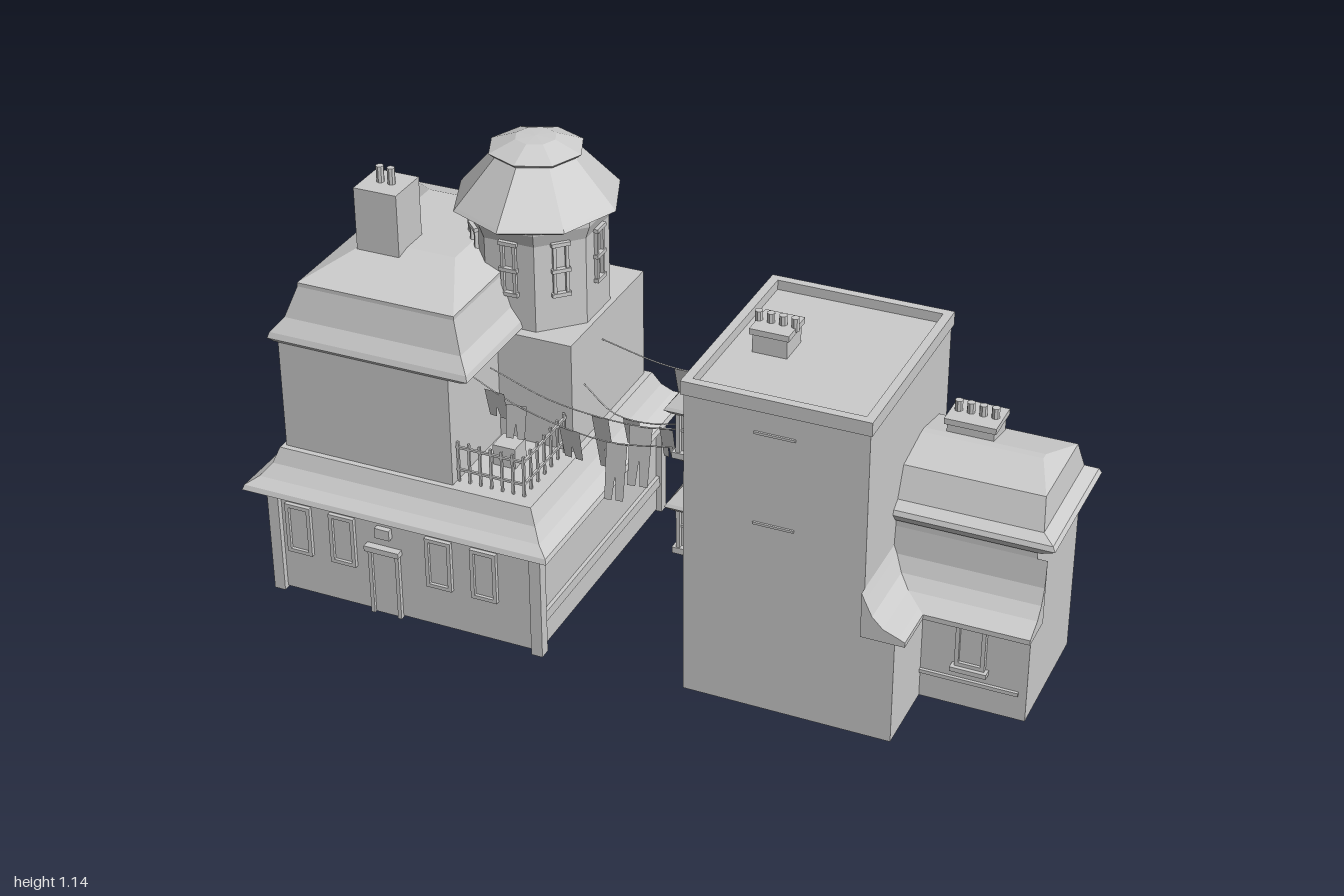
import * as THREE from 'three';

const mat = new THREE.MeshStandardMaterial({ color: 0xcccccc, flatShading: true, side: THREE.DoubleSide });

export function createModel() {
  const root = new THREE.Group();
  const group = (name) => {
    const g = new THREE.Group();
    g.name = name;
    root.add(g);
    return g;
  };
  const add = (parent, name, geo) => {
    const m = new THREE.Mesh(geo, mat);
    m.name = name;
    parent.add(m);
    return m;
  };
  // Box given by its limits
  const box = (p, name, x0, x1, y0, y1, z0, z1) => {
    const m = add(p, name, new THREE.BoxGeometry(x1 - x0, y1 - y0, z1 - z0));
    m.position.set((x0 + x1) / 2, (y0 + y1) / 2, (z0 + z1) / 2);
    return m;
  };
  // Solid lofted through rectangles [y, x0, x1, z0, z1]
  const loft = (p, name, levels) => {
    const rings = levels.map(([y, x0, x1, z0, z1]) => [[x0, y, z1], [x1, y, z1], [x1, y, z0], [x0, y, z0]]);
    const pos = [];
    const quad = (a, b, c, d) => pos.push(...a, ...b, ...c, ...a, ...c, ...d);
    for (let k = 0; k + 1 < rings.length; k++) {
      const a = rings[k], b = rings[k + 1];
      for (let i = 0; i < 4; i++) quad(a[i], a[(i + 1) % 4], b[(i + 1) % 4], b[i]);
    }
    const t = rings[rings.length - 1], o = rings[0];
    quad(t[0], t[1], t[2], t[3]);
    quad(o[3], o[2], o[1], o[0]);
    const geo = new THREE.BufferGeometry();
    geo.setAttribute('position', new THREE.Float32BufferAttribute(pos, 3));
    geo.computeVertexNormals();
    return add(p, name, geo);
  };
  const chimney = (p, x0, x1, y0, y1, z0, z1, potTop, pots, cap) => {
    box(p, 'chimneyStack', x0, x1, y0, y1, z0, z1);
    if (cap) box(p, 'chimneyCap', x0 - 0.006, x1 + 0.006, y1 - 0.015, y1, z0 - 0.006, z1 + 0.006);
    for (let i = 0; i < pots; i++) {
      const pot = add(p, 'chimneyPot', new THREE.CylinderGeometry(0.01, 0.01, potTop - y1 + 0.01, 8));
      pot.position.set((x0 + x1) / 2 + (i - (pots - 1) / 2) * 0.03, (potTop + y1 - 0.01) / 2, (z0 + z1) / 2);
    }
  };
  // Framed window on a front wall at depth z
  const frontWindow = (p, x0, x1, y0, y1, z) => {
    const t = 0.01;
    box(p, 'windowPane', x0 + t, x1 - t, y0 + t, y1 - t, z - 0.01, z + 0.002);
    for (const x of [x0, x1 - t]) box(p, 'windowJamb', x, x + t, y0, y1, z - 0.01, z + 0.01);
    for (const y of [y0, y1 - t]) box(p, 'windowRail', x0, x1, y, y + t, z - 0.01, z + 0.01);
  };

  // Corner house, ground floor with posts and beams
  const house = group('cornerHouse');
  box(house, 'groundFloor', -0.94, -0.22, 0.005, 0.3, -0.345, 0.365);
  for (const x of [-0.955, -0.235])
    for (const z of [-0.36, 0.35]) box(house, 'cornerPost', x, x + 0.03, 0, 0.3, z, z + 0.03);
  for (const [y0, y1] of [[0.27, 0.3], [0.08, 0.108]])
    for (const x of [-0.95, -0.222]) box(house, 'sideBeam', x, x + 0.012, y0, y1, -0.35, 0.37);
  box(house, 'frontBeam', -0.95, -0.21, 0.275, 0.3, 0.36, 0.376);
  for (const x of [-0.91, -0.787, -0.52, -0.397]) frontWindow(house, x, x + 0.07, 0.12, 0.26, 0.366);
  box(house, 'sign', -0.655, -0.615, 0.228, 0.256, 0.36, 0.38);
  box(house, 'door', -0.67, -0.605, 0, 0.18, 0.36, 0.368);
  for (const x of [-0.68, -0.605]) box(house, 'doorJamb', x, x + 0.01, 0, 0.19, 0.36, 0.376);
  box(house, 'doorLintel', -0.685, -0.59, 0.185, 0.2, 0.36, 0.385);
  loft(house, 'skirtRoof', [
    [0.285, -0.965, -0.2, -0.375, 0.385], [0.303, -1, -0.168, -0.43, 0.42], [0.316, -0.995, -0.172, -0.425, 0.415],
    [0.335, -0.965, -0.2, -0.395, 0.39], [0.365, -0.94, -0.222, -0.37, 0.365], [0.405, -0.925, -0.24, -0.352, 0.35],
  ]);

  // Upper floor, rear block and mansard roof
  box(house, 'upperFloor', -0.915, -0.455, 0.4, 0.71, -0.34, 0.335);
  box(house, 'rearBlock', -0.5, -0.257, 0.4, 0.7, -0.34, 0.08);
  loft(house, 'mansardRoof', [
    [0.695, -0.925, -0.425, -0.345, 0.335], [0.705, -0.94, -0.4, -0.355, 0.343], [0.72, -0.935, -0.405, -0.35, 0.338],
    [0.755, -0.905, -0.43, -0.325, 0.313], [0.835, -0.875, -0.455, -0.305, 0.293],
  ]);
  loft(house, 'roofTop', [
    [0.825, -0.875, -0.455, -0.305, 0.293], [0.845, -0.875, -0.455, -0.305, 0.293], [0.888, -0.78, -0.55, -0.2, 0.1],
  ]);
  chimney(house, -0.795, -0.68, 0.83, 1.043, 0.025, 0.14, 1.085, 2, false);

  // Balcony railing
  const balcony = group('balcony');
  const post = (x, z) => box(balcony, 'railPost', x - 0.003, x + 0.003, 0.4, 0.515, z - 0.003, z + 0.003);
  for (let i = 0; i <= 6; i++) {
    post(-0.45 + i * 0.029, 0.31);
    post(-0.276, 0.09 + i * 0.0365);
  }
  for (const y of [0.435, 0.497]) {
    box(balcony, 'handRail', -0.455, -0.273, y, y + 0.006, 0.307, 0.313);
    box(balcony, 'handRail', -0.279, -0.273, y, y + 0.006, 0.08, 0.313);
  }
  box(balcony, 'crate', -0.41, -0.35, 0.4, 0.46, 0.15, 0.21);

  // Octagonal tower
  const tower = group('tower');
  tower.position.set(-0.43, 0, -0.108);
  const lathe = (name, pts) => add(tower, name, new THREE.LatheGeometry(pts.map(([r, y]) => new THREE.Vector2(r, y)), 8));
  lathe('towerWall', [[0, 0.69], [0.172, 0.69], [0.172, 0.93], [0.186, 0.965], [0.186, 0.985], [0, 0.985]]).rotation.y = Math.PI / 8;
  lathe('towerRoof', [[0, 0.97], [0.205, 0.972], [0.222, 0.982], [0.215, 0.99], [0.105, 1.108], [0, 1.108]]).scale.x = 0.94;
  lathe('towerCap', [[0, 1.1], [0.112, 1.106], [0.12, 1.114], [0.052, 1.141], [0, 1.143]]);
  for (let i = 0; i < 8; i++) {
    const side = new THREE.Group();
    side.name = 'towerWindow';
    side.rotation.y = i * Math.PI / 4;
    tower.add(side);
    for (const x of [-0.02, 0.012]) box(side, 'windowJamb', x, x + 0.008, 0.8, 0.93, 0.15, 0.168);
    for (const y of [0.79, 0.855, 0.925]) box(side, 'windowRail', -0.024, 0.024, y, y + 0.01, 0.15, 0.171);
  }

  // Tall house with parapet
  const tall = group('tallHouse');
  box(tall, 'walls', 0.157, 0.605, 0, 0.825, -0.187, 0.355);
  for (const z of [-0.192, 0.338]) box(tall, 'parapet', 0.151, 0.61, 0.815, 0.85, z, z + 0.022);
  for (const x of [0.151, 0.588]) box(tall, 'parapet', x, x + 0.022, 0.815, 0.85, -0.192, 0.36);
  chimney(tall, 0.232, 0.318, 0.82, 0.888, 0.045, 0.133, 0.912, 4, true);
  for (const y of [0.755, 0.515]) box(tall, 'wallLedge', 0.33, 0.43, y, y + 0.006, 0.35, 0.36);
  box(tall, 'sideAnnex', 0.6, 0.682, 0, 0.3, 0.15, 0.355);

  // Bay windows on the wall facing the alley
  for (const z of [-0.04, 0.232])
    for (const y of [0.278, 0.54]) {
      const bay = group('bayWindow');
      const lv = (h, x, w) => [y + h, x, 0.16, z - w, z + w];
      loft(bay, 'bayBracket', [lv(0, 0.145, 0.018), lv(0.025, 0.135, 0.025), lv(0.05, 0.112, 0.05), lv(0.056, 0.1, 0.06), lv(0.072, 0.1, 0.06)]);
      loft(bay, 'bayGlass', [lv(0.07, 0.118, 0.045), lv(0.185, 0.118, 0.045)]);
      for (const s of [-0.052, 0, 0.052]) box(bay, 'bayPost', 0.109, 0.119, y + 0.07, y + 0.185, z + s - 0.005, z + s + 0.005);
      box(bay, 'bayBar', 0.111, 0.13, y + 0.125, y + 0.132, z - 0.05, z + 0.05);
      loft(bay, 'bayRoof', [lv(0.175, 0.1, 0.06), lv(0.187, 0.085, 0.072), lv(0.195, 0.09, 0.068), lv(0.238, 0.122, 0.035), lv(0.246, 0.122, 0.035)]);
    }

  // Low wing with hipped gambrel roof
  const wing = group('lowWing');
  box(wing, 'walls', 0.6, 0.945, 0, 0.5, -0.187, 0.155);
  loft(wing, 'wingRoof', [
    [0.48, 0.6, 0.955, -0.187, 0.162], [0.503, 0.6, 0.992, -0.192, 0.18], [0.515, 0.6, 0.985, -0.188, 0.175],
    [0.53, 0.6, 0.955, -0.165, 0.15], [0.605, 0.6, 0.945, -0.13, 0.118], [0.628, 0.6, 0.9, -0.02, 0],
  ]);
  chimney(wing, 0.657, 0.772, 0.58, 0.663, -0.118, -0.028, 0.69, 4, true);
  frontWindow(wing, 0.768, 0.842, 0.12, 0.29, 0.158);
  box(wing, 'windowSill', 0.76, 0.85, 0.108, 0.12, 0.15, 0.178);
  box(wing, 'shopBase', 0.68, 0.925, 0.07, 0.08, 0.15, 0.163);

  // Flared porch roofs meeting in the inner corner
  const flare = (name, top, reach, length) => {
    const prof = [[0, 0.29], [reach, 0.29], [reach, 0.303], [reach * 0.85, 0.31], [reach * 0.5, 0.325],
      [reach * 0.25, 0.352], [reach * 0.08, 0.39], [0, top]];
    const shape = new THREE.Shape(prof.map(([a, b]) => new THREE.Vector2(a, b)));
    return add(wing, name, new THREE.ExtrudeGeometry(shape, { depth: length, bevelEnabled: false }));
  };
  flare('annexRoof', 0.41, 0.108, 0.22).position.set(0.605, 0, 0.155);
  const porch = flare('porchRoof', 0.46, 0.098, 0.365);
  porch.rotation.y = -Math.PI / 2;
  porch.position.set(0.97, 0, 0.155);

  // Clotheslines with hanging washing: points and cloths [t, width, drop]
  const washing = group('washing');
  const lines = [
    [[[-0.455, 0.685, 0.26], [-0.3, 0.62, 0.265], [-0.08, 0.588, 0.275], [0.1, 0.62, 0.285]],
      [[0.16, 0.06, 0.08], [0.27, 0.05, 0.1], [0.52, 0.06, 0.09], [0.74, 0.05, 0.17]]],
    [[[-0.42, 0.66, 0.187], [-0.25, 0.605, 0.187], [-0.03, 0.59, 0.185], [0.1, 0.61, 0.18]],
      [[0.56, 0.05, 0.16], [0.76, 0.055, 0.18], [0.88, 0.04, 0.09]]],
    [[[-0.257, 0.56, 0.012], [-0.17, 0.493, 0.012], [0, 0.51, 0.012], [0.11, 0.6, 0.012]], [[0.35, 0.05, 0.08]]],
    [[[-0.257, 0.63, -0.095], [-0.1, 0.597, -0.095], [0, 0.595, -0.095], [0.1, 0.62, -0.095]], [[0.6, 0.05, 0.1]]],
  ];
  for (const [pts, cloths] of lines) {
    const curve = new THREE.CatmullRomCurve3(pts.map((p) => new THREE.Vector3(...p)));
    add(washing, 'clothesline', new THREE.TubeGeometry(curve, 16, 0.002, 4));
    cloths.forEach(([t, w, drop], i) => {
      const at = curve.getPointAt(t);
      const shape = new THREE.Shape([[-w / 2, 0], [w / 2, 0], [w * 0.45, -drop], [w * 0.1, -drop],
        [0, -drop * 0.55], [-w * 0.1, -drop], [-w * 0.45, -drop]].map(([a, b]) => new THREE.Vector2(a, i % 2 ? b : Math.max(b, -drop * 0.9))));
      const cloth = add(washing, 'cloth', new THREE.ShapeGeometry(shape));
      cloth.position.copy(at);
      cloth.rotation.set(0.1, (i % 2 ? 0.25 : -0.2), i % 2 ? -0.1 : 0.1);
    });
  }
  return root;
}
